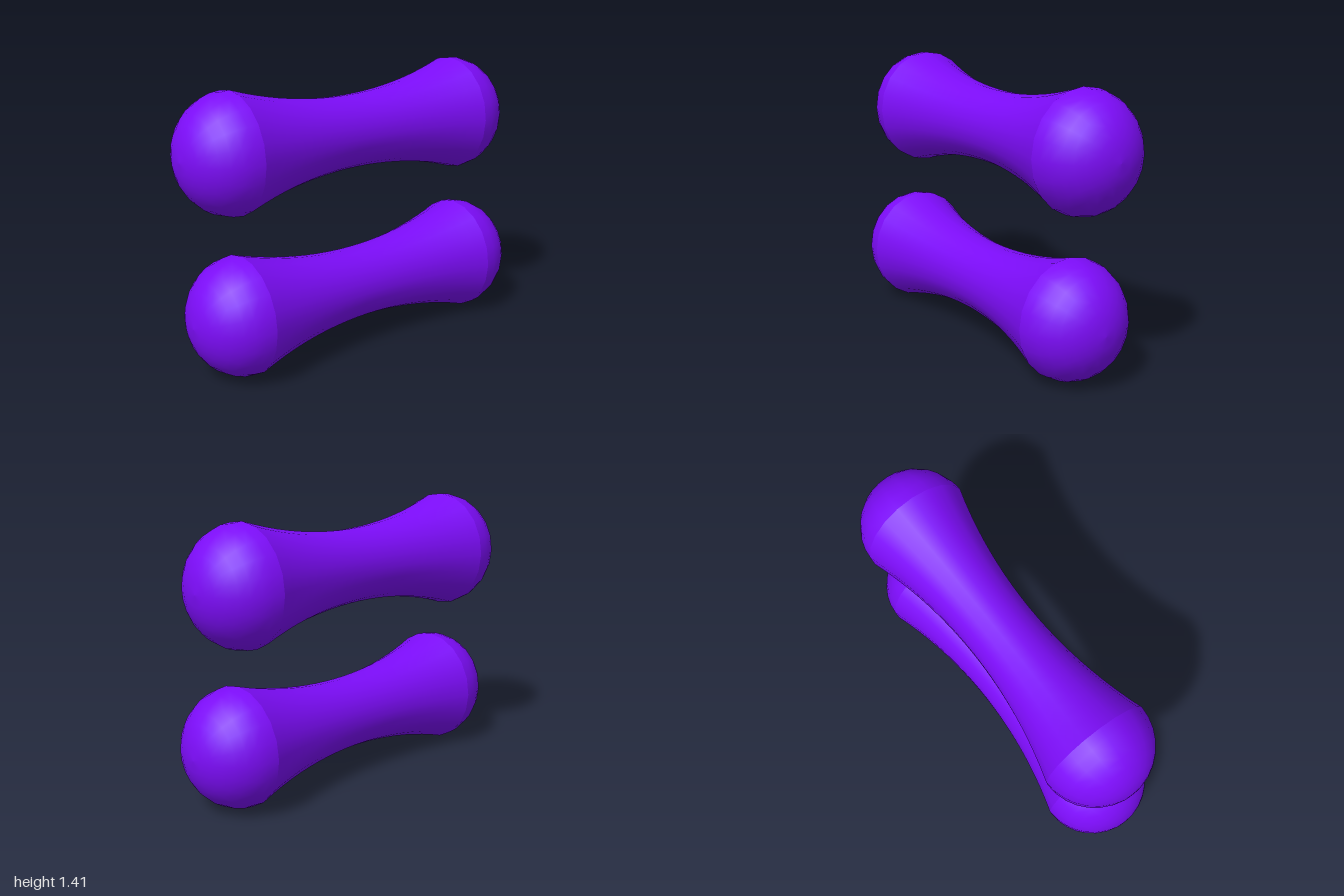
import * as THREE from 'three';

const SIDES = 20;
const JOIN = 0.716;   // where shaft meets the rounded ends
const END_R = 0.304;
const WAIST_R = 0.188;
const DEPTH = 0.94;   // slightly narrower front to back

// Lathe a profile of [radius, x] pairs around the x axis
function turned(profile) {
  const points = profile.map(([r, x]) => new THREE.Vector2(r, x));
  return new THREE.LatheGeometry(points, SIDES).rotateZ(-Math.PI / 2);
}

export function createModel() {
  const model = new THREE.Group();
  const material = new THREE.MeshStandardMaterial({ color: 0x7c0cf8 });

  // Concave shaft, following a circular arc
  const sag = END_R - WAIST_R;
  const arcR = (JOIN * JOIN + sag * sag) / (2 * sag);
  const shaftProfile = [];
  for (let i = 0; i <= 20; i++) {
    const x = -JOIN + (2 * JOIN * i) / 20;
    shaftProfile.push([WAIST_R + arcR - Math.sqrt(arcR * arcR - x * x), x]);
  }
  const shaftGeometry = turned(shaftProfile);

  // Domed end
  const capProfile = [];
  for (let i = 0; i <= 8; i++) {
    const a = (i / 8) * Math.PI / 2;
    capProfile.push([i === 8 ? 0 : END_R * Math.cos(a), JOIN + (1 - JOIN) * Math.sin(a)]);
  }
  const capGeometry = turned(capProfile);

  function bar(name, y, z) {
    const group = new THREE.Group();
    group.name = name;
    const shaft = new THREE.Mesh(shaftGeometry, material);
    shaft.name = 'shaft';
    group.add(shaft);
    for (const side of [1, -1]) {
      const cap = new THREE.Mesh(capGeometry, material);
      cap.name = side > 0 ? 'leftEnd' : 'rightEnd';
      if (side < 0) cap.rotation.y = Math.PI;
      group.add(cap);
    }
    group.scale.z = DEPTH;
    group.position.set(0, y, z);
    model.add(group);
  }

  bar('lowerBar', END_R, 0.029);
  bar('upperBar', 1.107, -0.029);
  return model;
}
